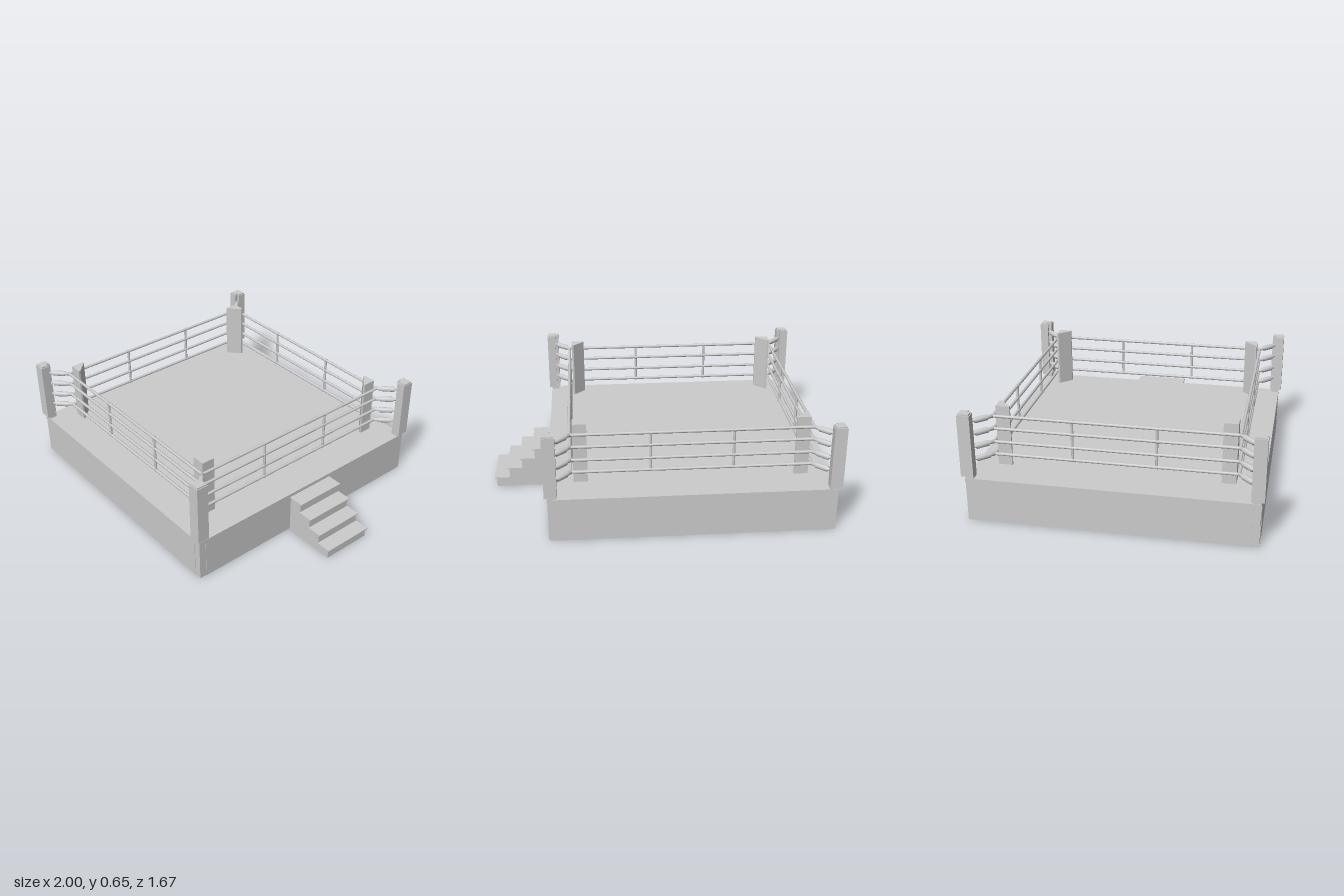
import * as THREE from 'three';

const mat = new THREE.MeshStandardMaterial({ color: 0xcccccc });

function add(parent, name, geo, x = 0, y = 0, z = 0) {
  const mesh = new THREE.Mesh(geo, mat);
  mesh.name = name;
  mesh.position.set(x, y, z);
  parent.add(mesh);
  return mesh;
}

// Upright prism from a plan outline; outline y points to the back (-z)
function prism(points, height) {
  const shape = new THREE.Shape(points.map(([x, y]) => new THREE.Vector2(x, y)));
  return new THREE.ExtrudeGeometry(shape, { depth: height, bevelEnabled: false }).rotateX(-Math.PI / 2);
}

// Square outline with the inner corner notched, between offsets a and b
const notched = (a, b, n) => [[b, b], [a, b], [a, a + n], [a + n, a + n], [a + n, a], [b, a]];

const ROPES = [0.36, 0.435, 0.515, 0.59];
const ROPE_AT = 0.685;

function createCorner() {
  const corner = new THREE.Group();
  corner.name = 'corner';
  add(corner, 'cornerColumn', new THREE.BoxGeometry(0.047, 0.29, 0.047), 0.794, 0.145, -0.794);
  add(corner, 'post', prism(notched(0.763, 0.835, 0.02), 0.365), 0, 0.278, 0);
  add(corner, 'postCap', prism(notched(0.768, 0.83, 0.02), 0.008), 0, 0.643, 0);

  // Triangular cushion inside the ropes
  const c = 0.67;
  add(corner, 'cornerPad', prism([[c, c], [c - 0.08, c], [c - 0.08, c - 0.012],
    [c - 0.012, c - 0.08], [c, c - 0.08]], 0.355), 0, 0.29, 0);

  // Turnbuckles running diagonally from post to rope corner
  const profile = [[0, 0], [0.008, 0], [0.008, 0.03], [0.017, 0.038], [0.017, 0.108],
    [0.011, 0.118], [0.011, 0.143], [0, 0.143]].map(([r, y]) => new THREE.Vector2(r, y));
  const buckle = new THREE.LatheGeometry(profile, 12);
  const inward = new THREE.Vector3(-1, 0, 1).normalize();
  for (const y of ROPES) {
    add(corner, 'turnbuckle', buckle, 0.786, y, -0.786)
      .quaternion.setFromUnitVectors(new THREE.Vector3(0, 1, 0), inward);
  }
  return corner;
}

function createSide() {
  const side = new THREE.Group();
  side.name = 'side';
  add(side, 'skirt', new THREE.BoxGeometry(1.55, 0.235, 0.03), 0, 0.1175, 0.805);
  const rope = new THREE.CylinderGeometry(0.009, 0.009, ROPE_AT * 2, 10).rotateZ(Math.PI / 2);
  for (const y of ROPES) add(side, 'rope', rope, 0, y, ROPE_AT);
  for (const s of [-1, 1]) {
    add(side, 'ropeSpacer', new THREE.CylinderGeometry(0.008, 0.008, 0.247, 8), s * 0.235, 0.475, ROPE_AT);
    // Collars where the spacer grips each rope
    for (const y of ROPES) {
      add(side, 'spacerCollar', new THREE.CylinderGeometry(0.011, 0.011, 0.016, 10).rotateZ(Math.PI / 2),
        s * 0.235, y, ROPE_AT);
    }
  }
  return side;
}

function createSteps() {
  const steps = new THREE.Group();
  steps.name = 'steps';
  const outline = new THREE.Shape();
  outline.moveTo(0.665, 0);
  outline.lineTo(0.988, 0);
  for (let i = 0; i < 4; i++) {
    const x = 0.988 - i * 0.08, y = 0.055 + i * 0.0625;
    outline.lineTo(x, y);
    outline.lineTo(i < 3 ? x - 0.08 : 0.665, y);
    // Thin tread overhanging the front and sides
    const front = 1.0 - i * 0.08;
    const back = i < 3 ? front - 0.092 : 0.665;
    add(steps, 'tread', new THREE.BoxGeometry(front - back, 0.007, 0.316), (front + back) / 2, y + 0.0035, 0);
  }
  add(steps, 'stepBody', new THREE.ExtrudeGeometry(outline, { depth: 0.304, bevelEnabled: false }), 0, 0, -0.152);
  return steps;
}

export function createModel() {
  const model = new THREE.Group();
  model.name = 'boxingRing';
  const ring = new THREE.Group();
  ring.name = 'ring';
  ring.position.x = -0.165;

  // Solid base with the floor slab on top
  add(ring, 'base', new THREE.BoxGeometry(1.628, 0.235, 1.628), 0, 0.1175, 0);
  add(ring, 'floor', new THREE.BoxGeometry(1.64, 0.025, 1.64), 0, 0.2475, 0);

  // Four identical sides and corners
  for (let i = 0; i < 4; i++) {
    for (const part of [createCorner(), createSide()]) {
      part.rotation.y = i * Math.PI / 2;
      ring.add(part);
    }
  }
  model.add(ring, createSteps());
  return model;
}
